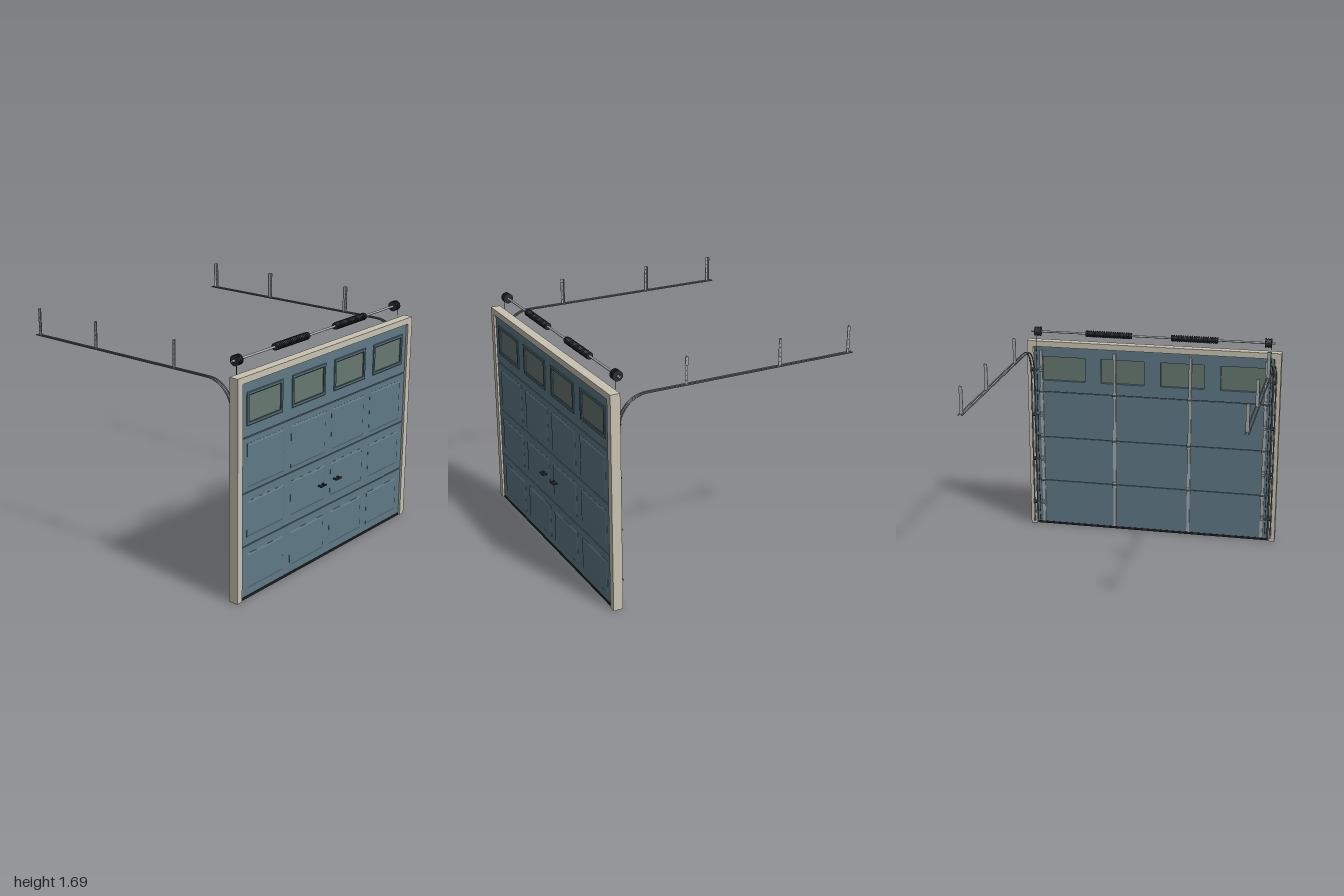
import * as THREE from 'three';

const mat = (color, opts = {}) => new THREE.MeshStandardMaterial({ color, ...opts });
const M = {
  frame: mat(0xc9c3b2), door: mat(0x5f7986), trim: mat(0x587079), glass: mat(0x66786f),
  steel: mat(0xa3a8a8), rail: mat(0x70757a), dark: mat(0x2a2e31), rubber: mat(0x1d1f22),
};

export function createModel() {
  const root = new THREE.Group();
  const add = (name, geo, m, x = 0, y = 0, z = 0, parent = root) => {
    const mesh = new THREE.Mesh(geo, m);
    mesh.name = name;
    mesh.position.set(x, y, z);
    parent.add(mesh);
    return mesh;
  };
  const box = (name, w, h, d, m, x, y, z, parent) => add(name, new THREE.BoxGeometry(w, h, d), m, x, y, z, parent);
  const rodX = (name, r, len, m, x, y, z, parent, sides = 16) =>
    add(name, new THREE.CylinderGeometry(r, r, len, sides).rotateZ(Math.PI / 2), m, x, y, z, parent);
  const rect = (P, w, h, x = 0, y = 0) => new P([
    new THREE.Vector2(x - w / 2, y - h / 2), new THREE.Vector2(x + w / 2, y - h / 2),
    new THREE.Vector2(x + w / 2, y + h / 2), new THREE.Vector2(x - w / 2, y + h / 2)]);

  // Surround
  for (const s of [-1, 1]) box('jamb', 0.05, 1.545, 0.07, M.frame, s * 0.975, 0.7725, 0.883);
  box('header', 1.9, 0.045, 0.07, M.frame, 0, 1.5225, 0.883);

  // Door sections
  const back = 0.865, front = 0.905, thick = front - back, doorW = 1.892;
  const joints = [0.38, 0.752, 1.13];
  const bounds = [0.012, ...joints, 1.502];
  const panelX = [-0.695, -0.23, 0.23, 0.695];
  const fieldY = [[0.07, 0.32], [0.44, 0.69], [0.785, 1.085]];
  fieldY.forEach(([y0, y1], i) => {
    const section = new THREE.Group();
    section.name = 'doorSection';
    root.add(section);
    const b = bounds[i] + 0.003, t = bounds[i + 1] - 0.003;
    box('sectionSlab', doorW, t - b, thick, M.door, 0, (b + t) / 2, (front + back) / 2, section);
    // Raised field with sloped edges
    const bevel = 0.012;
    const field = new THREE.ExtrudeGeometry(rect(THREE.Shape, 0.39 - 2 * bevel, y1 - y0 - 2 * bevel), {
      depth: 0.001, bevelEnabled: true, bevelSize: bevel, bevelThickness: 0.005, bevelSegments: 1 });
    for (const x of panelX) add('raisedField', field, M.door, x, (y0 + y1) / 2, front, section);
  });

  // Top section with four window openings
  const top = new THREE.Group();
  top.name = 'windowSection';
  root.add(top);
  const winX = [-0.71, -0.237, 0.237, 0.71], winY = 1.32, winW = 0.345, winH = 0.195;
  const slab = rect(THREE.Shape, doorW, 0.366, 0, 1.317);
  for (const x of winX) slab.holes.push(rect(THREE.Path, winW, winH, x, winY));
  add('windowSlab', new THREE.ExtrudeGeometry(slab, { depth: thick, bevelEnabled: false }), M.door, 0, 0, back, top);
  const ring = rect(THREE.Shape, 0.366, 0.216);
  ring.holes.push(rect(THREE.Path, 0.336, 0.186));
  const ringGeo = new THREE.ExtrudeGeometry(ring, {
    depth: 0.004, bevelEnabled: true, bevelSize: 0.004, bevelThickness: 0.003, bevelSegments: 1 });
  for (const x of winX) {
    add('windowTrim', ringGeo, M.trim, x, winY, front, top);
    box('windowGlass', winW, winH, 0.006, M.glass, x, winY, 0.893, top);
  }
  box('bottomSeal', doorW, 0.018, 0.046, M.rubber, 0, 0.009, 0.885);

  // Rear stiles and joint hinges
  const stileX = [-0.89, -0.3, 0.3, 0.89];
  for (const x of stileX) {
    bounds.slice(0, 4).forEach((b, i) => {
      const y0 = b + 0.012, y1 = bounds[i + 1] - (i === 3 ? 0.03 : 0.012);
      box('rearStile', 0.022, y1 - y0, 0.012, M.steel, x, (y0 + y1) / 2, back - 0.006);
    });
    for (const y of joints) {
      box('hingePlate', 0.036, 0.05, 0.004, M.steel, x, y, back - 0.013);
      rodX('hingeKnuckle', 0.006, 0.034, M.rail, x, y, back - 0.017, root, 10);
    }
  }
  for (const y of joints) box('jointTongue', doorW, 0.003, 0.012, M.dark, 0, y, 0.877);

  // Front pull handles
  for (const s of [-1, 1]) {
    const handle = new THREE.Group();
    handle.name = 'pullHandle';
    handle.position.set(s * 0.09, 0.563, 0);
    root.add(handle);
    box('grip', 0.062, 0.011, 0.009, M.dark, 0, 0, 0.941, handle);
    for (const e of [-1, 1]) box('gripPost', 0.009, 0.01, 0.036, M.dark, e * 0.022, 0, 0.921, handle);
  }

  // Twin-rail tracks: vertical run, quarter bend, horizontal run
  const trackZ = 0.838, trackY = 1.498, R = 0.2, k = 0.5523 * R;
  const trackPath = (x) => {
    const p = new THREE.CurvePath();
    const v = (y, z) => new THREE.Vector3(x, y, z);
    p.add(new THREE.LineCurve3(v(0.025, trackZ), v(trackY - R, trackZ)));
    p.add(new THREE.CubicBezierCurve3(v(trackY - R, trackZ), v(trackY - R + k, trackZ),
      v(trackY, trackZ - R + k), v(trackY, trackZ - R)));
    p.add(new THREE.LineCurve3(v(trackY, trackZ - R), v(trackY, -0.945)));
    return p;
  };
  for (const s of [-1, 1]) {
    const track = new THREE.Group();
    track.name = 'track';
    root.add(track);
    for (const x of [0.943, 0.967])
      add('trackRail', new THREE.TubeGeometry(trackPath(s * x), 140, 0.005, 8, false),
        mat(0x70757a, { side: THREE.DoubleSide }), 0, 0, 0, track);

    // Ceiling hangers as angle iron
    for (const z of [0.355, -0.355, -0.905]) {
      box('hangerSide', 0.004, 0.195, 0.022, M.steel, s * 0.963, 1.592, z, track);
      box('hangerFlange', 0.024, 0.195, 0.004, M.steel, s * 0.953, 1.592, z - 0.009, track);
      for (let i = 0; i < 5; i++)
        rodX('hangerHole', 0.003, 0.006, M.dark, s * 0.963, 1.53 + i * 0.033, z, track, 8);
    }
    // Rollers on short axles
    for (const y of [0.193, 0.568, 0.943, 1.315]) {
      rodX('roller', 0.014, 0.014, M.dark, s * 0.955, y, trackZ, track);
      rodX('rollerAxle', 0.004, 0.06, M.steel, s * 0.92, y, trackZ, track, 8);
      box('rollerBracket', 0.026, 0.035, 0.02, M.steel, s * 0.893, y, 0.85, track);
    }
    for (const y of [0.1, 0.5, 0.9, 1.25])
      box('trackBracket', 0.024, 0.025, 0.012, M.rail, s * 0.958, y, 0.846, track);
  }

  // Torsion shaft, springs, cable drums and lift cables
  const shaftY = 1.63, shaftZ = 0.825;
  rodX('torsionShaft', 0.008, 1.9, M.steel, 0, shaftY, shaftZ);
  const turns = 20, springLen = 0.35, pts = [];
  for (let i = 0; i <= turns * 12; i++) {
    const a = (i / 12) * Math.PI * 2;
    pts.push(new THREE.Vector3((i / (turns * 12) - 0.5) * springLen, Math.cos(a) * 0.021, Math.sin(a) * 0.021));
  }
  const coil = new THREE.TubeGeometry(new THREE.CatmullRomCurve3(pts), turns * 16, 0.006, 6, false);
  for (const s of [-1, 1]) {
    add('torsionSpring', coil, M.dark, s * 0.335, shaftY, shaftZ);
    rodX('springCore', 0.017, springLen, M.dark, s * 0.335, shaftY, shaftZ);
    for (const e of [-1, 1]) rodX('springCone', 0.024, 0.012, M.dark, s * 0.335 + e * 0.174, shaftY, shaftZ);
    rodX('cableDrum', 0.031, 0.046, M.dark, s * 0.9, shaftY, shaftZ, root, 24);
    for (const e of [-1, 0, 1]) rodX('drumFlange', 0.036, 0.008, M.dark, s * 0.9 + e * 0.02, shaftY, shaftZ, root, 24);
    add('liftCable', new THREE.CylinderGeometry(0.0018, 0.0018, 1.59, 6), M.dark, s * 0.922, 0.835, 0.842);
  }
  return root;
}
